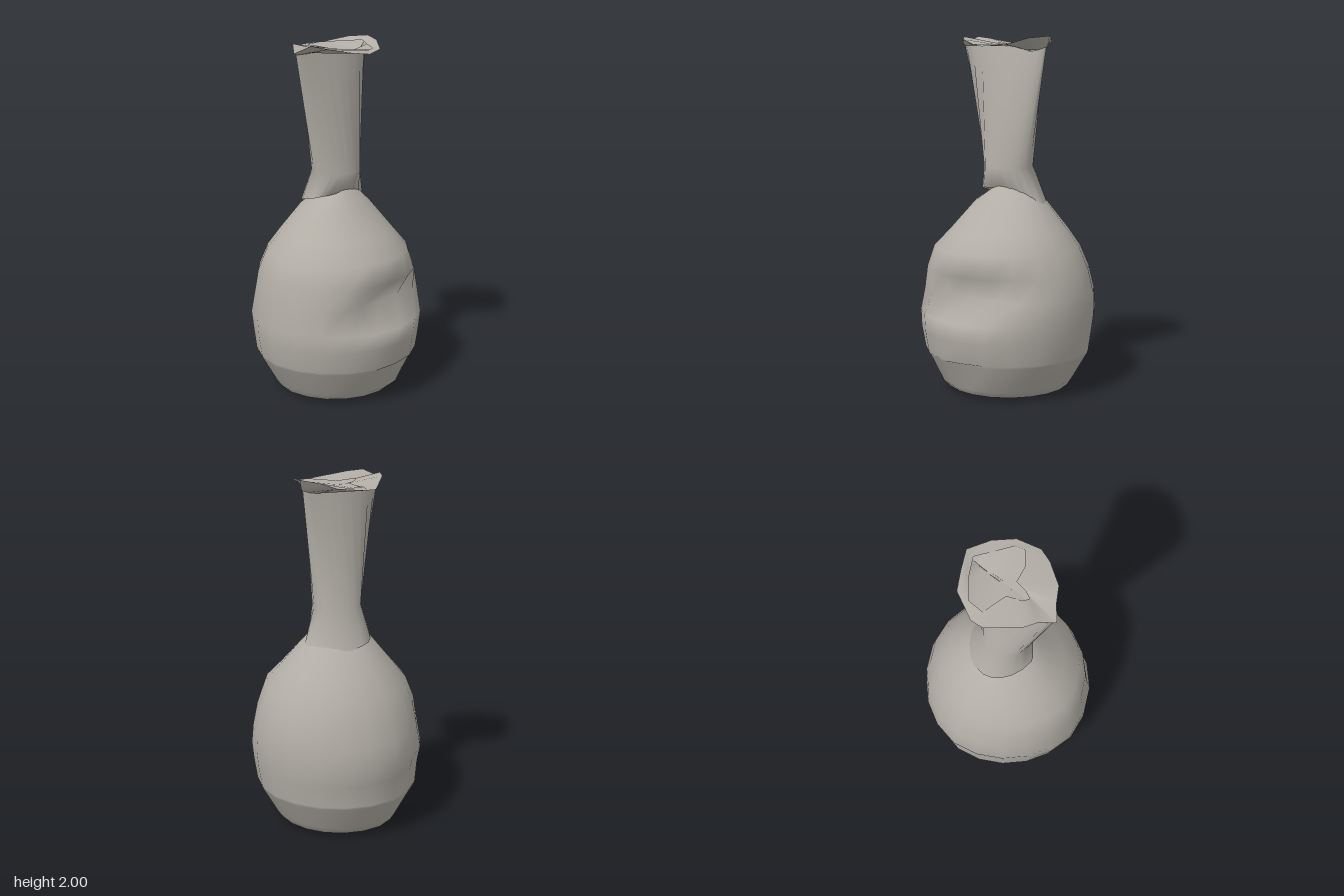
import * as THREE from 'three';

const clay = new THREE.MeshStandardMaterial({ color: 0xb2aea6, side: THREE.DoubleSide });
clay.name = 'warm grey clay';

// Skin a stack of closed rings, each a list of [x, y, z]
function loft(rings, name) {
  const n = rings[0].length;
  const index = [];
  for (let i = 0; i < rings.length - 1; i++) {
    for (let j = 0; j < n; j++) {
      const a = i * n + j, b = i * n + (j + 1) % n;
      index.push(a, a + n, b, b, a + n, b + n);
    }
  }
  const geo = new THREE.BufferGeometry();
  geo.setAttribute('position', new THREE.Float32BufferAttribute(rings.flat(2), 3));
  geo.setIndex(index);
  geo.computeVertexNormals();
  const mesh = new THREE.Mesh(geo, clay);
  mesh.name = name;
  return mesh;
}

// Uneven oval with its own reach on each side, slightly flattened at the front right;
// the +x side may be cut flat
function oval(y, left, right, back, front, cut = 1, n = 20) {
  return Array.from({ length: n }, (_, j) => {
    const t = (j / n) * Math.PI * 2, c = Math.cos(t), s = Math.sin(t);
    const r = 1 + 0.08 * Math.min(c, 0) * Math.max(s, 0);
    return [Math.min(r * c * (c > 0 ? right : left), cut), y, r * s * (s > 0 ? front : back)];
  });
}

// Height of the pinched seam where the neck meets the lip, dipping near the back
const seamY = z => 1.94 - 0.03 * Math.exp(-(((z + 0.16) / 0.07) ** 2));

export function createModel() {
  const vase = new THREE.Group();
  vase.name = 'vase';

  // Rounded body, dented on its left side
  const bodyRings = [
    oval(0.005, 0.30, 0.28, 0.32, 0.32),
    oval(0.02, 0.36, 0.35, 0.35, 0.35),
    oval(0.06, 0.385, 0.395, 0.375, 0.38),
    oval(0.215, 0.47, 0.46, 0.465, 0.47, 0.44),
    oval(0.23, 0.475, 0.475, 0.47, 0.475),
    oval(0.35, 0.475, 0.49, 0.49, 0.50),
    oval(0.45, 0.505, 0.50, 0.50, 0.50),
    oval(0.57, 0.48, 0.47, 0.50, 0.48, 0.345),
    oval(0.70, 0.445, 0.45, 0.47, 0.465, 0.44),
    oval(0.82, 0.39, 0.42, 0.42, 0.42),
    oval(0.92, 0.32, 0.31, 0.35, 0.33),
    oval(1.07, 0.20, 0.17, 0.235, 0.20),
    oval(1.16, 0.07, 0.08, 0.14, 0.06),
    oval(1.175, 0.005, 0.03, 0.08, 0.01),
  ];
  vase.add(loft(bodyRings, 'body'));

  // Flat foot
  vase.add(loft([oval(0, 0, 0, 0, 0), bodyRings[0]], 'foot'));

  // Neck: slanted at the shoulder, round above it, pinched to a seam at the top
  const slanted = oval(1.13, 0.215, 0.07, 0.235, 0.17)
    .map(([x, y, z]) => [x, y + 0.27 * x + 0.25 * Math.min(z, 0), z]);
  const pinched = oval(0, 0.006, 0.006, 0.25, 0.295).map(([x, , z]) => [x, seamY(z), z]);
  vase.add(loft([slanted, oval(1.27, 0.14, 0.145, 0.145, 0.13), pinched], 'neck'));

  // Wavy lip around an uneven opening
  const outer = [
    [0.26, 1.94, 0], [0.23, 1.95, 0.08], [0.15, 1.975, 0.2], [0.07, 1.99, 0.25],
    [0, 1.95, 0.31], [-0.07, 1.99, 0.25], [-0.13, 1.98, 0.21], [-0.25, 1.94, 0.05],
    [-0.26, 1.945, -0.02], [-0.19, 1.96, -0.17], [-0.1, 1.985, -0.22], [0, 1.995, -0.27],
    [0.12, 1.985, -0.21], [0.22, 1.95, -0.13],
  ];
  const opening = [
    [0.2, -0.06], [0.13, 0], [0.04, 0.02], [0.03, 0.09], [0.01, 0.13], [-0.02, 0.11],
    [-0.05, 0.03], [-0.11, 0.015], [-0.19, 0.02], [-0.2, -0.08], [-0.1, -0.17],
    [0, -0.225], [0.1, -0.16], [0.18, -0.11],
  ].map(([x, z]) => [x, 1.95 + 0.4 * z * z, z]);
  vase.add(loft([outer, opening], 'lip'));

  // Shallow underside of the lip, closing onto the neck seam
  const seam = outer.map(([, , z]) => [0, seamY(z * 0.95), z * 0.95]);
  vase.add(loft([seam, outer], 'lipUnderside'));

  return vase;
}
